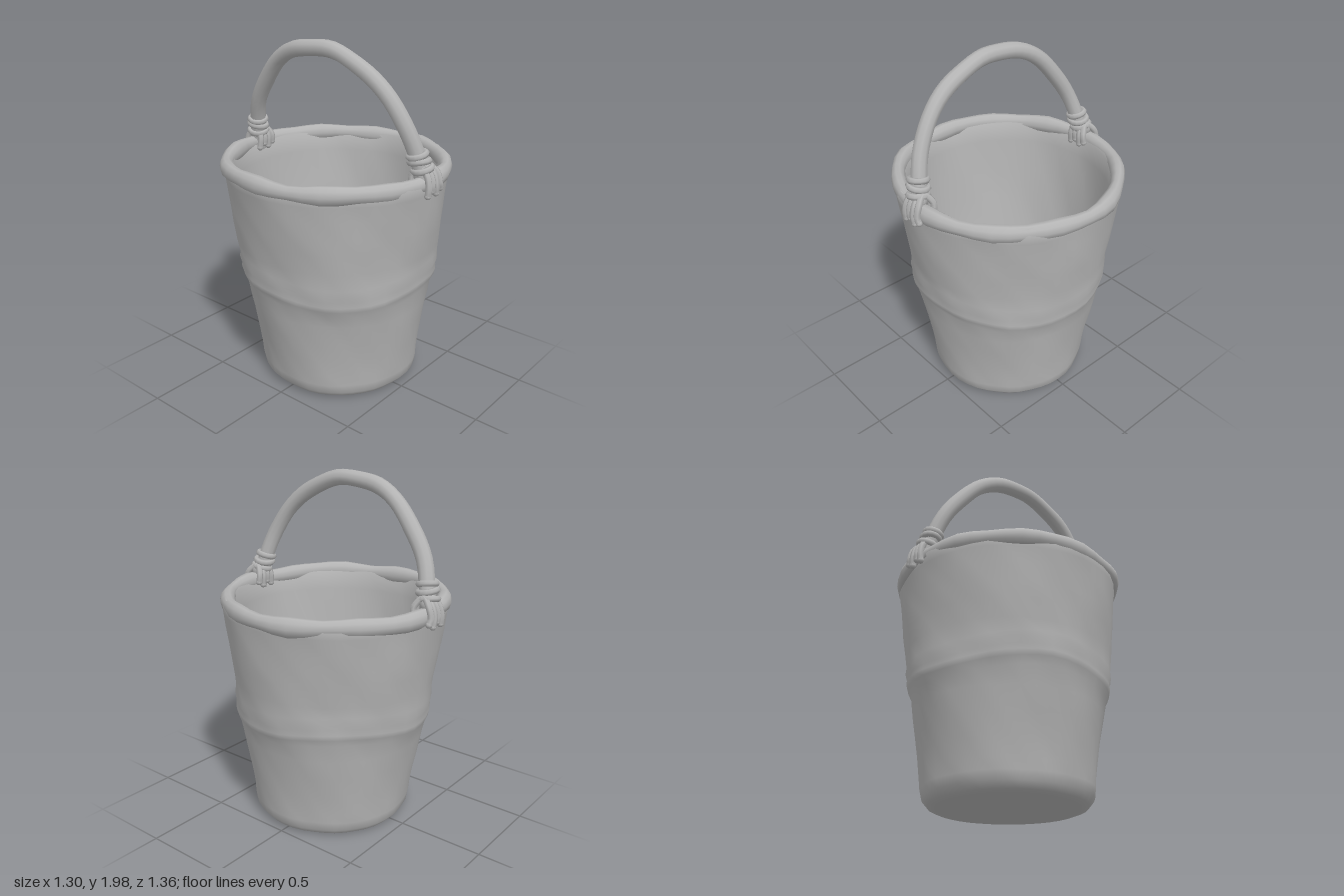
import * as THREE from 'three';
import { mergeVertices } from 'three/addons/utils/BufferGeometryUtils.js';

const V = (x, y, z) => new THREE.Vector3(x, y, z);

// Weld a geometry, move each vertex by a rule, and smooth the normals.
function shape(geometry, rule) {
  geometry.deleteAttribute('uv');
  geometry.deleteAttribute('normal');
  const g = mergeVertices(geometry, 1e-4);
  const p = g.attributes.position;
  const v = new THREE.Vector3();
  for (let i = 0; i < p.count; i++) {
    rule(v.fromBufferAttribute(p, i));
    p.setXYZ(i, v.x, v.y, v.z);
  }
  g.computeVertexNormals();
  return g;
}

// Gentle lumps for a hand-made surface.
function lump(v) {
  const a = Math.atan2(v.x, v.z);
  return 0.5 * Math.sin(5 * a + 7 * v.y) + 0.3 * Math.sin(9 * a - 11 * v.y) + 0.2 * Math.sin(14 * a + 23 * v.y);
}

export function createModel() {
  const group = new THREE.Group();
  const grey = new THREE.MeshStandardMaterial({ color: 0xb4b4b4 });
  grey.name = 'wicker grey';
  const add = (name, geometry, parent = group) => {
    const mesh = new THREE.Mesh(geometry, grey);
    mesh.name = name;
    parent.add(mesh);
    return mesh;
  };

  // Body: underside, outer wall with a raised middle band, inner wall and floor
  const profile = [
    [0, 0.02], [0.2, 0.02], [0.38, 0.015], [0.43, 0.025], [0.46, 0.06], [0.468, 0.11], [0.473, 0.17],
    [0.488, 0.28], [0.508, 0.4], [0.53, 0.52], [0.546, 0.61], [0.565, 0.65], [0.572, 0.68], [0.568, 0.71],
    [0.578, 0.74], [0.574, 0.78], [0.582, 0.86], [0.597, 0.97], [0.609, 1.06], [0.62, 1.16],
    [0.632, 1.25], [0.64, 1.3], [0.62, 1.34], [0.575, 1.31],
    [0.567, 1.2], [0.55, 1.0], [0.53, 0.8], [0.505, 0.6], [0.475, 0.4], [0.445, 0.22], [0.42, 0.11],
    [0.4, 0.08], [0.36, 0.07], [0.2, 0.07], [0, 0.07],
  ].map(([r, y]) => new THREE.Vector2(r, y));
  add('body', shape(new THREE.LatheGeometry(profile, 44), (v) => {
    const r = Math.hypot(v.x, v.z);
    if (r < 0.3) return;
    const k = 1 + 0.013 * lump(v);
    const lean = 0.018 * (1 - v.y / 1.35);
    const a = Math.atan2(v.x, v.z);
    if (v.y > 0.55 && v.y < 0.85) v.y += 0.02 * Math.sin(3 * a + 1);
    v.x = v.x * k + lean;
    v.z = v.z * k + lean;
  }));

  // Rim: a thick rolled ring, slightly uneven along its length
  const ring = new THREE.TorusGeometry(0.612, 0.04, 10, 44).rotateX(Math.PI / 2);
  add('rim', shape(ring, (v) => {
    const a = Math.atan2(v.x, v.z);
    const r = Math.hypot(v.x, v.z);
    const swell = 1 + 0.1 * Math.sin(11 * a) + 0.06 * Math.sin(7 * a + 1);
    const nr = 0.612 + (r - 0.612) * swell + 0.005 * Math.sin(5 * a);
    v.x *= nr / r;
    v.z *= nr / r;
    v.y = 1.305 + v.y * 1.2 * swell - 0.009 * v.x + 0.004 * Math.sin(6 * a);
  }));

  // Handle: a leaning bent stick with closed ends hidden in the bindings
  const path = new THREE.CatmullRomCurve3([
    V(-0.015, 1.27, 0.61), V(-0.045, 1.45, 0.575), V(-0.08, 1.6, 0.525), V(-0.105, 1.75, 0.43),
    V(-0.125, 1.87, 0.285), V(-0.134, 1.94, 0.12), V(-0.136, 1.953, -0.02), V(-0.132, 1.93, -0.17),
    V(-0.12, 1.855, -0.32), V(-0.1, 1.72, -0.44), V(-0.075, 1.58, -0.53), V(-0.04, 1.45, -0.575), V(-0.005, 1.27, -0.61),
  ]);
  add('handle', shape(new THREE.TubeGeometry(path, 44, 0.045, 10), (v) => {
    v.x += 0.004 * Math.sin(13 * v.z);
    v.y += 0.003 * Math.sin(21 * v.z);
  }));

  // Bindings: wrapped coils and strands draped over the rim at each handle foot
  for (const side of [1, -1]) {
    const binding = new THREE.Group();
    binding.name = side > 0 ? 'frontBinding' : 'backBinding';
    group.add(binding);
    [[1.46, 0.577, -0.044, 0.046], [1.425, 0.585, -0.036, 0.05], [1.385, 0.598, -0.024, 0.05]].forEach(([y, z, x, r], i) => {
      const coil = add('coil', new THREE.TorusGeometry(r, 0.018, 6, 14), binding);
      coil.position.set(x, y, z * side);
      coil.rotation.set(Math.PI / 2 - 0.2 * side, 0.2 - 0.25 * (i % 2), 0);
    });
    for (let i = 0; i < 4; i++) {
      const x = -0.055 + i * 0.034;
      const drop = 1.255 + 0.02 * (i % 2);
      const strand = new THREE.CatmullRomCurve3([
        V(x, drop + 0.03, 0.555 * side), V(x * 0.9, 1.35, 0.553 * side), V(x * 0.6 - 0.01, 1.4, 0.595 * side),
        V(x * 0.9, 1.36, 0.645 * side), V(x, 1.3, 0.662 * side), V(x * 1.1 + 0.005, drop, 0.658 * side),
      ]);
      add('strand', new THREE.TubeGeometry(strand, 16, 0.019, 6), binding);
      for (const t of [0, 1]) {
        const tip = add('strandTip', new THREE.SphereGeometry(0.019, 8, 6), binding);
        tip.position.copy(strand.getPoint(t));
      }
    }
    const knot = add('knot', new THREE.SphereGeometry(0.05, 10, 8), binding);
    knot.scale.set(1.1, 1.1, 0.9);
    knot.position.set(-0.012, 1.37, 0.605 * side);
  }
  return group;
}
